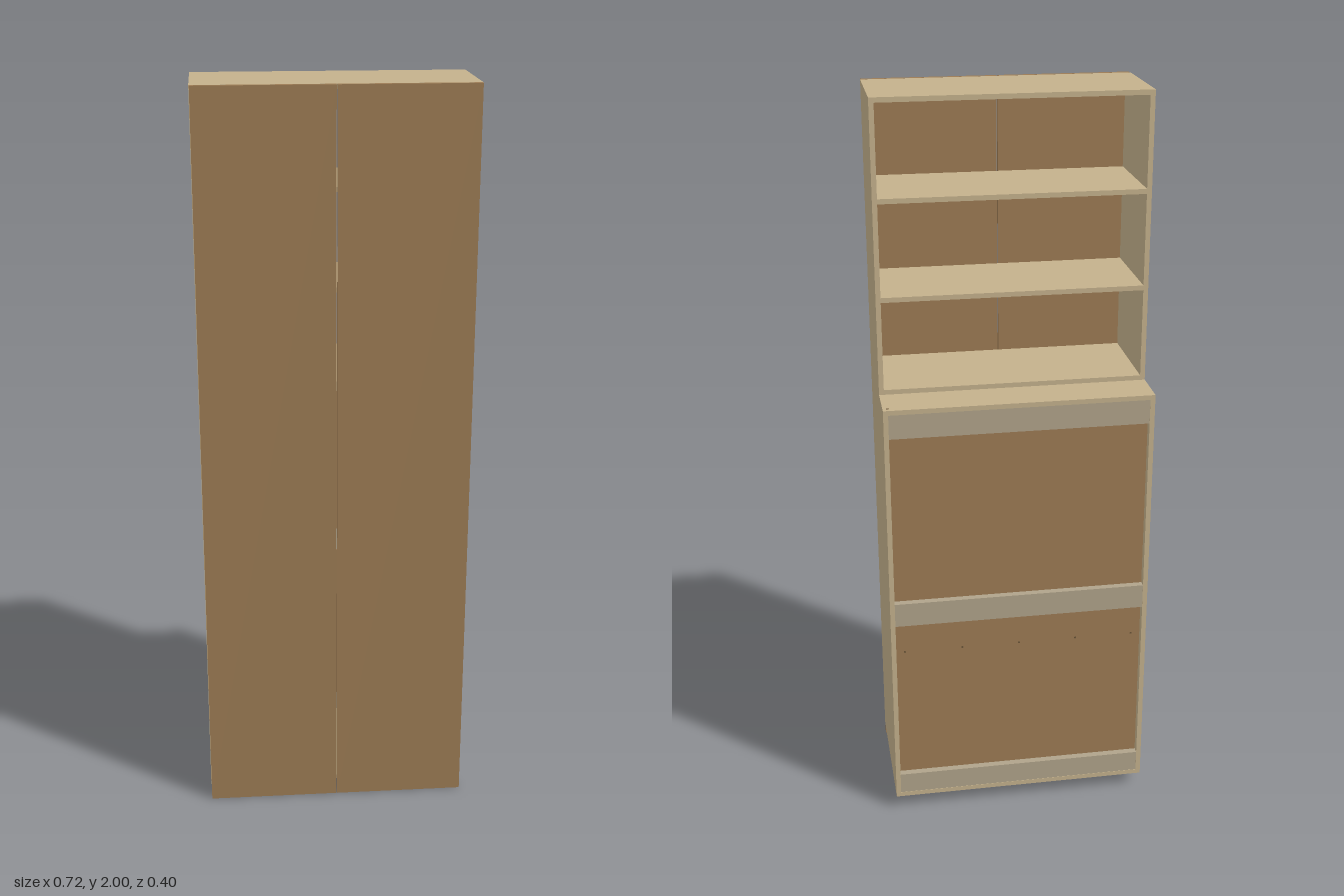
import * as THREE from 'three';

export function createModel() {
  const model = new THREE.Group();
  model.name = 'steppedCabinet';
  const mat = (name, color) => {
    const m = new THREE.MeshStandardMaterial({ color });
    m.name = name;
    return m;
  };
  const beige = mat('beigeBoard', 0xc4b18c);
  const brown = mat('brownWood', 0x9c7b54);
  const grey = mat('greyRail', 0xb0a38a);
  const dark = mat('darkHole', 0x6b5538);

  // Box given by its minimum and maximum corners
  const box = (name, m, x0, x1, y0, y1, z0, z1) => {
    const mesh = new THREE.Mesh(new THREE.BoxGeometry(x1 - x0, y1 - y0, z1 - z0), m);
    mesh.position.set((x0 + x1) / 2, (y0 + y1) / 2, (z0 + z1) / 2);
    mesh.name = name;
    model.add(mesh);
  };

  const W = 0.358, T = 0.013, IN = W - T;
  const back = -0.2, step = -0.083, front = 0.186;
  const base = 0.04, stepY = 1.23, top = 2;

  // Side walls with the step cut from their rear
  const outline = new THREE.Shape([
    [-front, base], [-back, base], [-back, stepY], [-step, stepY], [-step, top], [-front, top],
  ].map(([x, y]) => new THREE.Vector2(x, y)));
  for (const [name, x] of [['leftSide', IN], ['rightSide', -W]]) {
    const g = new THREE.ExtrudeGeometry(outline, { depth: T, bevelEnabled: false });
    g.rotateY(Math.PI / 2);
    const side = new THREE.Mesh(g, beige);
    side.position.x = x;
    side.name = name;
    model.add(side);
  }

  // Horizontal boards
  box('bottomBoard', beige, -IN, IN, base, base + T, back, front);
  box('stepBoard', beige, -IN, IN, stepY - T, stepY, back, front);
  box('upperFloor', beige, -IN, IN, stepY, stepY + T, step, front);
  box('topBoard', beige, -IN, IN, top - T, top, step, front);
  for (const y of [1.494, 1.75]) box('shelf', beige, -IN, IN, y - T, y, step, front);

  // Rear rails and the recessed panels between them
  for (const [y0, y1] of [[base + T, 0.113], [0.597, 0.665], [1.15, stepY - T]])
    box('rearRail', grey, -IN, IN, y0, y1, back + 0.001, back + 0.02);
  for (const [y0, y1] of [[0.113, 0.597], [0.665, 1.15]])
    box('rearPanel', brown, -IN, IN, y0, y1, back + 0.02, back + 0.025);

  // Small holes across the lower panel and one on the step
  const hole = (r, x, y, z) => {
    const h = new THREE.Mesh(new THREE.CylinderGeometry(r, r, 0.001, 12), dark);
    h.position.set(x, y, z);
    h.name = 'hole';
    model.add(h);
    return h;
  };
  for (let i = -2; i <= 2; i++) hole(0.003, i * 0.16, 0.505, back + 0.02).rotation.x = Math.PI / 2;
  hole(0.004, 0.345, stepY, -0.185);

  // Pair of full height doors hanging below the carcass
  for (const s of [-1, 1]) {
    const a = s * 0.0015, b = s * 0.3565;
    box(s > 0 ? 'leftDoor' : 'rightDoor', brown, Math.min(a, b), Math.max(a, b), 0, top, 0.187, 0.2);
  }
  return model;
}
